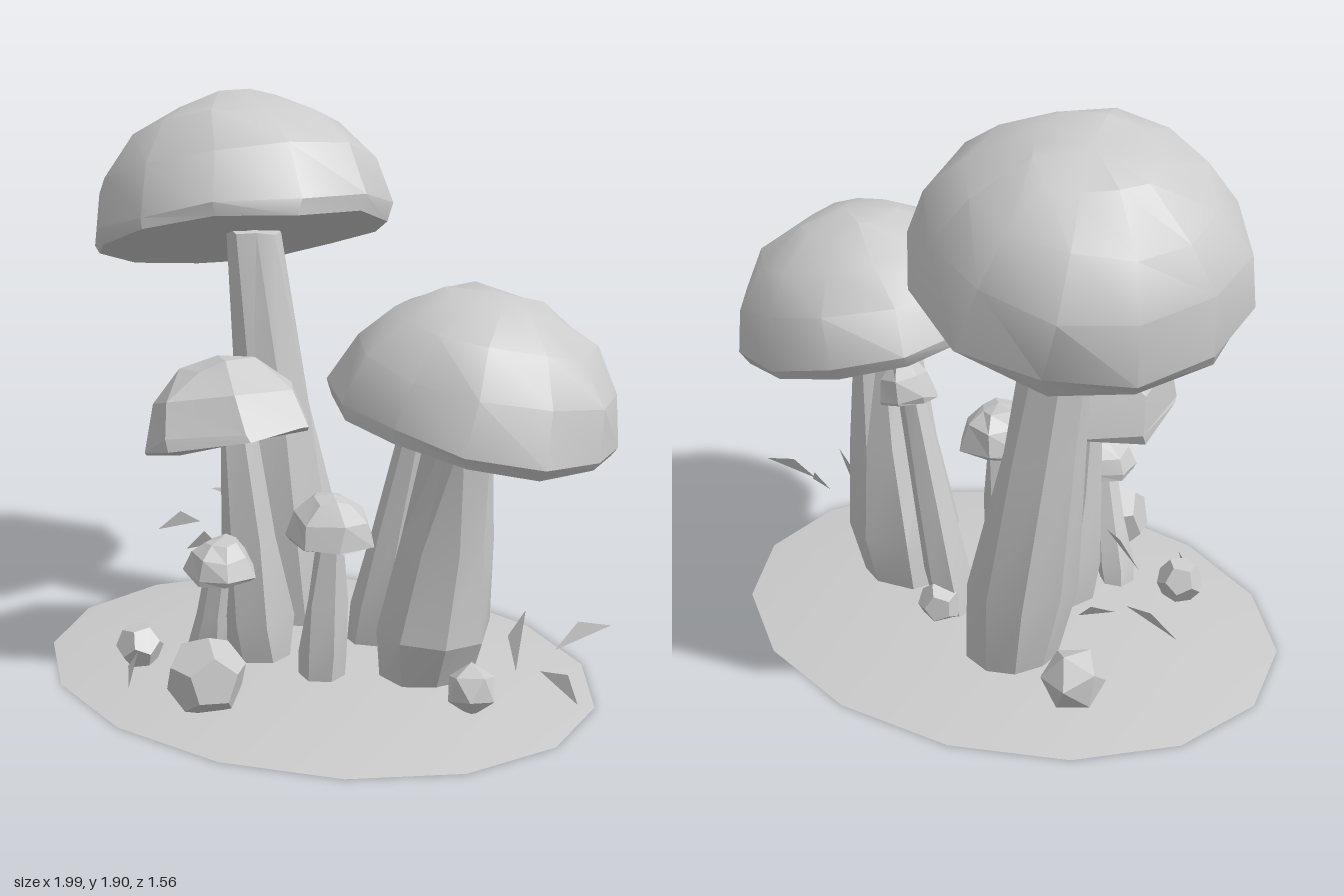
import * as THREE from 'three';
import { toCreasedNormals } from 'three/addons/utils/BufferGeometryUtils.js';

const grey = new THREE.MeshStandardMaterial({ color: 0xcccccc });
const thin = new THREE.MeshStandardMaterial({ color: 0xcccccc, side: THREE.DoubleSide, flatShading: true });

// Repeatable noise from a position, so coincident vertices move together
function noise(v, seed) {
  const q = v.clone().multiplyScalar(500).round();
  const s = Math.sin(q.x * 13 + q.y * 78.2 + q.z * 37.7 + seed * 9.1) * 4375.8;
  return (s - Math.floor(s)) * 2 - 1;
}

// Pass every vertex through a rule
function reshape(geo, rule) {
  const p = geo.attributes.position;
  const v = new THREE.Vector3();
  for (let i = 0; i < p.count; i++) {
    const w = rule(v.fromBufferAttribute(p, i));
    p.setXYZ(i, w.x, w.y, w.z);
  }
  return geo;
}

function roughen(geo, amount, seed) {
  return reshape(geo, (v) => new THREE.Vector3(noise(v, seed), noise(v, seed + 1), noise(v, seed + 2))
    .multiplyScalar(amount).add(v));
}

function addMesh(parent, name, geo, material = grey) {
  const mesh = new THREE.Mesh(geo, material);
  mesh.name = name;
  parent.add(mesh);
  return mesh;
}

// Dome over a shallow underside; large caps have more facets and softer edges
function makeCap(parent, { at, radius, height, lean, large }, seed) {
  const rows = large ? 4 : 3;
  const pts = [new THREE.Vector2(0, 0.04 * height), new THREE.Vector2(0.95 * radius, -0.02 * height)];
  for (let i = 0; i <= rows; i++) {
    const a = 0.08 + (i / rows) * (Math.PI / 2 - 0.08);
    pts.push(new THREE.Vector2(i === rows ? 0 : radius * Math.cos(a), height * Math.sin(a)));
  }
  const geo = roughen(new THREE.LatheGeometry(pts, large ? 12 : 7), radius * (large ? 0.025 : 0.07), seed);
  const cap = addMesh(parent, 'cap', toCreasedNormals(geo, large ? 0.55 : 0.15));
  cap.position.set(...at);
  const up = new THREE.Vector3(lean[0], 1, lean[1]).normalize();
  cap.quaternion.setFromUnitVectors(new THREE.Vector3(0, 1, 0), up);
}

// Leaning stalk from its foot to its head [x, z] inside the cap, swelling just above the foot
function makeStalk(parent, { at, foot, head, thick, large }, seed) {
  const top = new THREE.Vector3(head[0], at[1] + 0.03, head[1]);
  const base = new THREE.Vector3(foot[0], 0.03, foot[1]);
  const geo = reshape(new THREE.CylinderGeometry(1, 1, 1, large ? 8 : 6, 3), (v) => {
    const row = Math.round((v.y + 0.5) * 3);
    const t = [0, 0.2, 0.55, 1][row];
    const r = thick * [0.82, 1, 0.78, 0.55][row];
    return base.clone().lerp(top, t).add(new THREE.Vector3(v.x * r, 0, v.z * r));
  });
  addMesh(parent, 'stalk', toCreasedNormals(roughen(geo, thick * 0.09, seed), 0.35));
}

export function createModel() {
  const model = new THREE.Group();
  model.name = 'mushroomCluster';

  // Low mound of ground
  const mound = new THREE.CylinderGeometry(0.62, 1, 0.05, 15).rotateY(Math.PI / 15).scale(0.98, 1, 0.79);
  addMesh(model, 'ground', toCreasedNormals(mound, 0.2)).position.set(-0.03, 0.025, 0);

  // Mushrooms: cap rim centre, size and lean, then stalk foot, head and thickness
  const mushrooms = [
    { name: 'tallMushroom', at: [-0.48, 1.395, -0.19], radius: 0.525, height: 0.49, lean: [-0.29, -0.2],
      foot: [-0.28, -0.26], head: [-0.455, -0.21], thick: 0.17, large: true },
    { name: 'wideMushroom', at: [0.52, 0.925, -0.075], radius: 0.465, height: 0.435, lean: [0.18, -0.1],
      foot: [0.365, -0.08], head: [0.52, -0.03], thick: 0.19, large: true },
    { name: 'mediumMushroom', at: [-0.2, 0.81, 0.235], radius: 0.285, height: 0.28, lean: [-0.3, -0.14],
      foot: [-0.16, 0.13], head: [-0.2, 0.2], thick: 0.12 },
    { name: 'smallFrontMushroom', at: [0.14, 0.52, 0.15], radius: 0.14, height: 0.165, lean: [0.05, 0],
      foot: [0.1, 0.15], head: [0.14, 0.15], thick: 0.085 },
    { name: 'smallBackMushroom', at: [0.23, 0.79, -0.2], radius: 0.095, height: 0.155, lean: [0.2, 0],
      foot: [0.05, -0.18], head: [0.22, -0.2], thick: 0.08 },
    { name: 'tinyMushroom', at: [-0.115, 0.425, 0.4], radius: 0.115, height: 0.13, lean: [0.05, 0],
      foot: [-0.24, 0.34], head: [-0.12, 0.4], thick: 0.07 },
  ];
  mushrooms.forEach((spec, i) => {
    const group = new THREE.Group();
    group.name = spec.name;
    makeStalk(group, spec, i * 5 + 2);
    makeCap(group, spec, i * 7 + 1);
    model.add(group);
  });

  // Faceted rocks: x, z, radius
  [[-0.045, 0.56, 0.13], [-0.6, -0.33, 0.105], [-0.46, 0.41, 0.08], [0.63, 0.07, 0.085],
    [0.06, -0.24, 0.075]].forEach(([x, z, r], i) => {
    const geo = i % 2 ? new THREE.IcosahedronGeometry(r) : new THREE.DodecahedronGeometry(r);
    const rock = addMesh(model, 'rock', geo);
    rock.position.set(x, 0.025 + r * 0.95, z);
    rock.rotation.set(i * 0.9, i * 1.7 + 0.4, 0.3);
  });

  // Floating leaf shards and one ground blade: x, y, z, roll
  const leaf = new THREE.Shape().moveTo(-0.1, -0.03).lineTo(0.1, 0).lineTo(0, 0.04);
  const leafGeo = new THREE.ShapeGeometry(leaf);
  [[-0.76, 0.32, -0.15, 0.2], [-0.68, 0.4, -0.33, -0.3], [-0.46, 0.37, 0.08, 0.1], [0.75, 0.28, 0, 1.5],
    [0.9, 0.29, -0.14, 0.5], [0.91, 0.17, 0, -0.5], [-0.38, 0.08, 0.54, 1.4]].forEach(([x, y, z, roll], i) => {
    const shard = addMesh(model, 'leafShard', leafGeo, thin);
    shard.position.set(x, y, z);
    shard.rotation.set(-0.4, 0.5 * Math.sin(i * 2), roll);
    shard.scale.setScalar(i === 1 || i === 6 ? 0.6 : 0.95);
  });
  return model;
}
